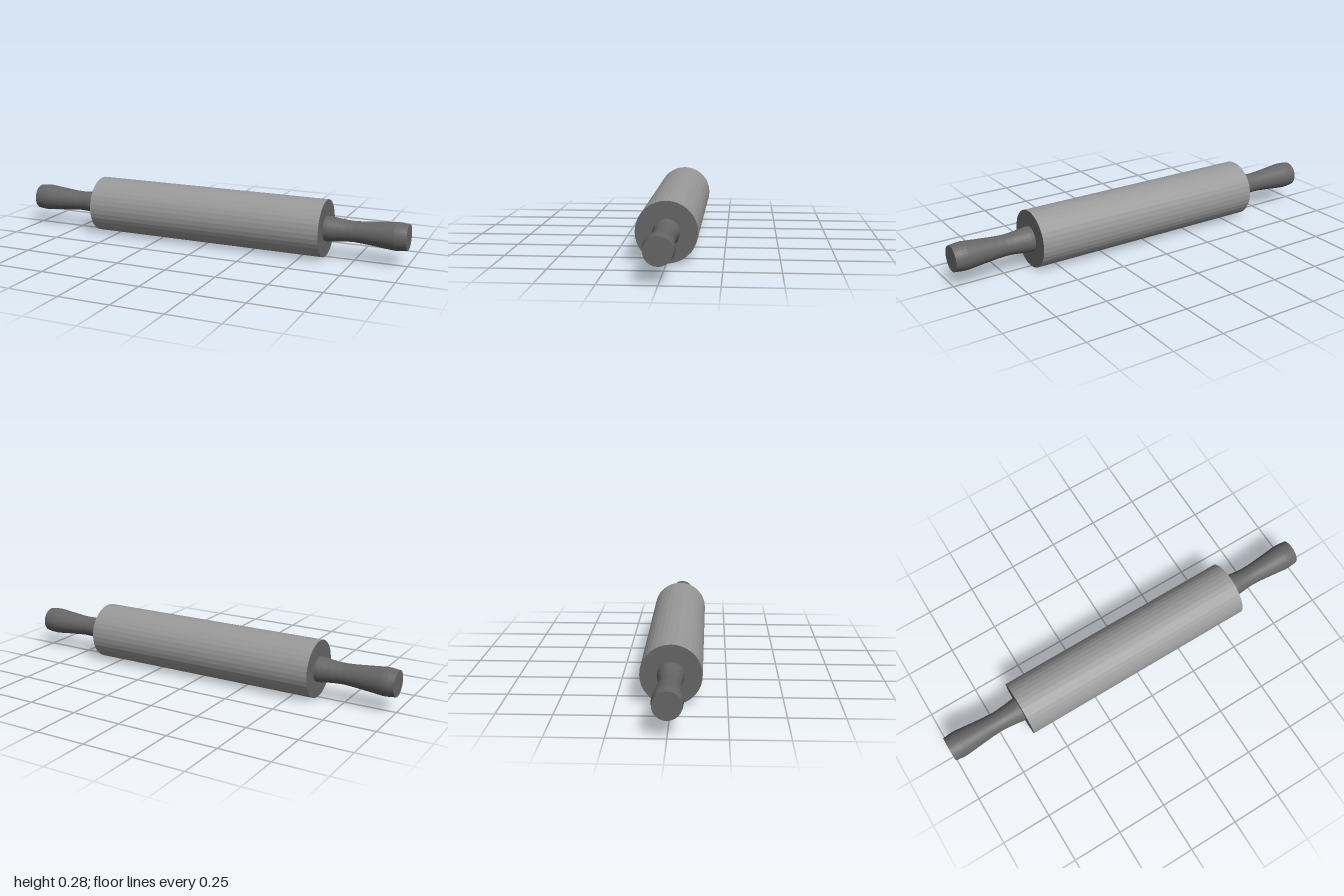
import * as THREE from 'three';

const AXIS_Y = 0.139;
const SIDES = 36;

export function createModel() {
  const group = new THREE.Group();
  const light = new THREE.MeshStandardMaterial({ name: 'light grey', color: 0x999999, flatShading: true });
  const dark = new THREE.MeshStandardMaterial({ name: 'dark grey', color: 0x666666, flatShading: true });

  // Main barrel lying along x, with darker end faces
  const roller = new THREE.Mesh(
    new THREE.CylinderGeometry(0.139, 0.139, 1.22, SIDES),
    [light, dark, dark]
  );
  roller.name = 'roller';
  roller.rotation.z = -Math.PI / 2;
  roller.position.set(-0.003, AXIS_Y, 0);
  group.add(roller);

  // Turned handle: [radius, distance from centre], waisted and closed at the tip
  const profile = [
    [0.061, 0.59], [0.061, 0.625], [0.055, 0.67], [0.051, 0.71], [0.05, 0.745],
    [0.052, 0.785], [0.058, 0.85], [0.064, 0.91], [0.067, 0.94], [0.066, 0.965],
    [0.062, 1], [0, 1],
  ].map(([r, d]) => new THREE.Vector2(r, d));
  const handleGeometry = new THREE.LatheGeometry(profile, SIDES);

  for (const side of [1, -1]) {
    const handle = new THREE.Mesh(handleGeometry, dark);
    handle.name = side > 0 ? 'leftHandle' : 'rightHandle';
    handle.rotation.z = -side * Math.PI / 2;
    handle.position.y = AXIS_Y;
    group.add(handle);
  }

  return group;
}
